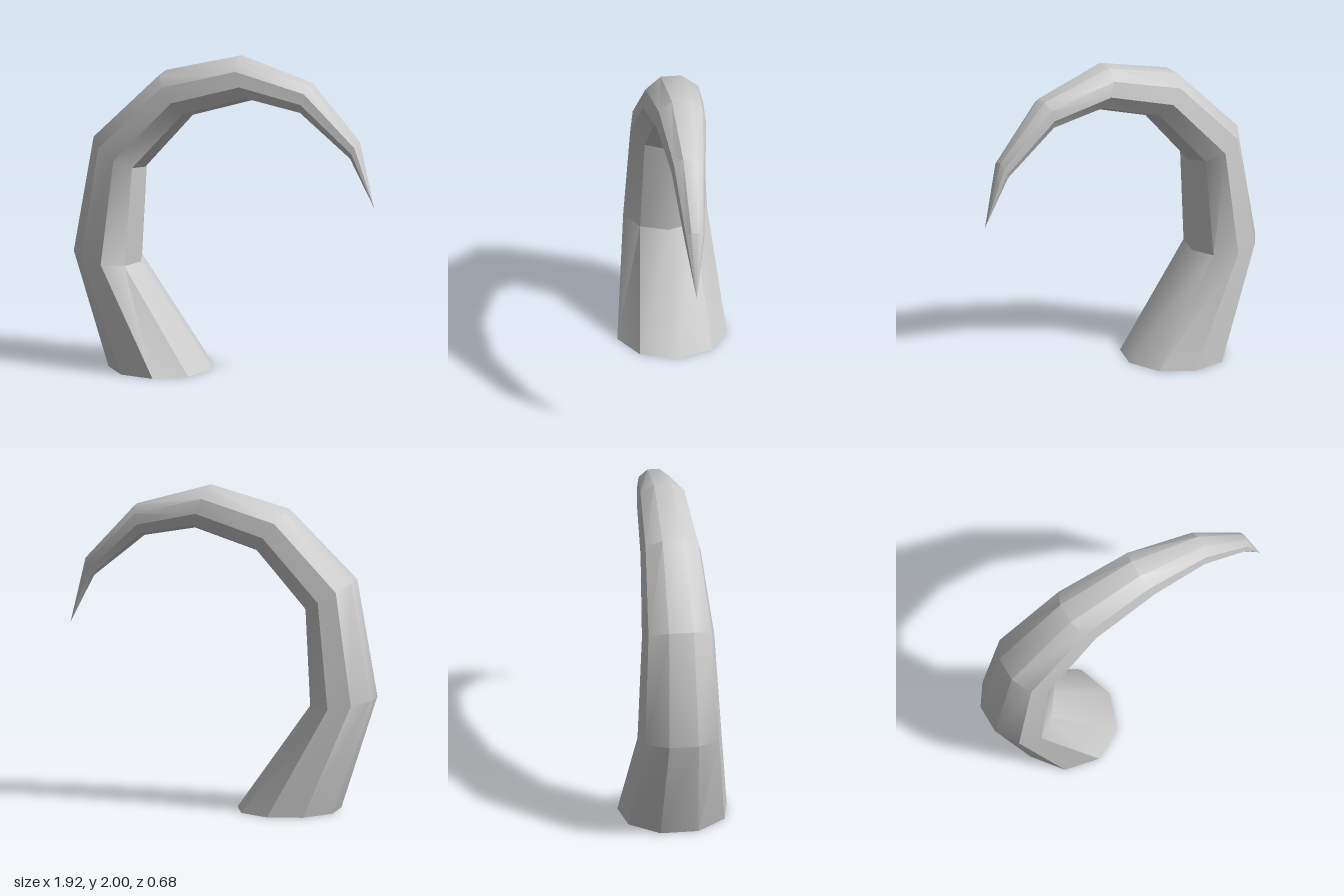
import * as THREE from 'three';
import { toCreasedNormals } from 'three/addons/utils/BufferGeometryUtils.js';

const SIDES = 9;

// Each ring: outer edge x, y, inner edge x, y, and half width in z
const RINGS = [
  [-0.73, 0, -0.10, 0, 0.345],
  [-0.965, 0.71, -0.56, 0.65, 0.265],
  [-0.84, 1.44, -0.53, 1.255, 0.228],
  [-0.415, 1.865, -0.22, 1.61, 0.19],
  [0.08, 2.0, 0.17, 1.735, 0.157],
  [0.545, 1.865, 0.49, 1.675, 0.107],
  [0.86, 1.52, 0.81, 1.41, 0.062],
];
const TIP = [0.96, 1.11, 0];

// Nine-sided section: flat on the outside of the curl, one corner on the inside
function ringPoints([ox, oy, ix, iy, r]) {
  const points = [];
  const top = Math.cos(Math.PI / SIDES);
  for (let k = 0; k < SIDES; k++) {
    const a = ((2 * k + 1) * Math.PI) / SIDES;
    const f = (top - Math.cos(a)) / (top + 1);
    points.push(ox + (ix - ox) * f, oy + (iy - oy) * f, r * Math.sin(a));
  }
  return points;
}

function hornGeometry() {
  const positions = RINGS.flatMap(ringPoints);
  const tip = positions.length / 3;
  positions.push(...TIP);
  const base = tip + 1;
  positions.push(-0.4, 0, 0);

  const index = [];
  const last = (RINGS.length - 1) * SIDES;
  for (let k = 0; k < SIDES; k++) {
    const n = (k + 1) % SIDES;
    // walls between neighbouring rings
    for (let row = 0; row < last; row += SIDES) {
      const a = row + k, b = row + n, c = b + SIDES, d = a + SIDES;
      index.push(a, b, c, a, c, d);
    }
    index.push(last + k, last + n, tip); // point
    index.push(base, n, k); // flat underside
  }

  const geometry = new THREE.BufferGeometry();
  geometry.setAttribute('position', new THREE.Float32BufferAttribute(positions, 3));
  geometry.setIndex(index);
  // long edges stay sharp, the bends along the curl are smooth
  return toCreasedNormals(geometry, THREE.MathUtils.degToRad(36));
}

export function createModel() {
  const group = new THREE.Group();
  group.name = 'curvedHorn';
  const horn = new THREE.Mesh(
    hornGeometry(),
    new THREE.MeshStandardMaterial({ color: 0xcccccc })
  );
  horn.name = 'horn';
  group.add(horn);
  return group;
}
